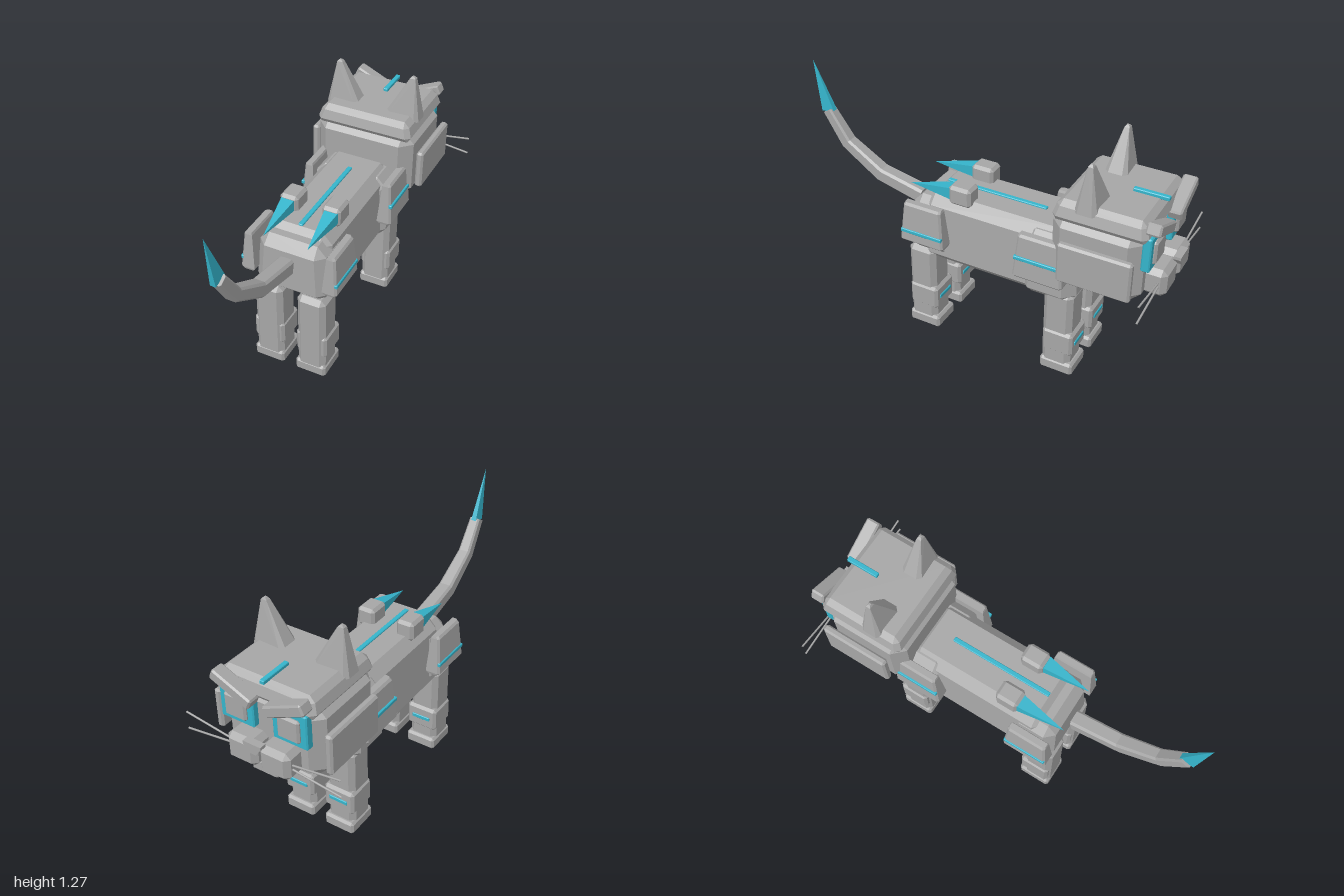
import * as THREE from 'three';
import { ConvexGeometry } from 'three/addons/geometries/ConvexGeometry.js';

const mat = (name, color) => {
  const m = new THREE.MeshStandardMaterial({ color });
  m.name = name;
  return m;
};

export function createModel() {
  const model = new THREE.Group();
  const grey = mat('plate grey', 0xa6a6a6);
  const teal = mat('glowing teal', 0x35b4cb);
  const V = (x, y, z) => new THREE.Vector3(x, y, z);

  const add = (name, material, geometry) => {
    const mesh = new THREE.Mesh(geometry, material);
    mesh.name = name;
    model.add(mesh);
    return mesh;
  };
  const hull = (name, material, points) => add(name, material, new ConvexGeometry(points));

  // Corner points of a chamfered box; tx and tz scale the top in x and z
  const corners = ([x0, x1], [y0, y1], [z0, z1], c, tx = 1, tz = 1) => {
    const w = (x1 - x0) / 2, h = (y1 - y0) / 2, d = (z1 - z0) / 2, pts = [];
    for (const i of [-1, 1]) for (const j of [-1, 1]) for (const k of [-1, 1]) {
      for (const [a, b, e] of [[0, c, c], [c, 0, c], [c, c, 0]]) {
        const y = j * (h - b), t = (y / h + 1) / 2;
        pts.push(V((x0 + x1) / 2 + i * (w - a) * (1 + (tx - 1) * t), (y0 + y1) / 2 + y,
          (z0 + z1) / 2 + k * (d - e) * (1 + (tz - 1) * t)));
      }
    }
    return pts;
  };
  const block = (name, material, ...args) => hull(name, material, corners(...args));

  // Rectangle with cut corners, used for lofted pieces
  const ring = (w, h, c) => [[w - c, h], [w, h - c], [w, c - h], [w - c, -h],
    [c - w, -h], [-w, c - h], [-w, h - c], [c - w, h]];

  // Torso
  block('body', grey, [-0.19, 0.19], [0.42, 0.8], [-0.5, 0.29], 0.055, 0.88, 0.96);
  block('rump', grey, [-0.2, 0.2], [0.46, 0.77], [0.1, 0.35], 0.05, 0.85, 0.9);
  block('chest', grey, [-0.21, 0.21], [0.42, 0.78], [-0.56, -0.27], 0.055, 0.95, 0.92);
  block('spineStripe', teal, [-0.012, 0.012], [0.79, 0.808], [-0.32, 0.22], 0.003);

  // Head
  block('head', grey, [-0.265, 0.265], [0.585, 0.97], [-0.885, -0.445], 0.06);
  block('headCap', grey, [-0.265, 0.265], [0.935, 1.033], [-0.91, -0.445], 0.025, 0.88, 0.88);
  block('headStripe', teal, [-0.012, 0.012], [1.028, 1.048], [-0.905, -0.735], 0.003);
  block('chin', grey, [-0.075, 0.075], [0.565, 0.64], [-0.935, -0.81], 0.015);
  hull('nose', grey, [-0.995, -0.965].length && [-1, -0.965].flatMap(z => [
    V(-0.047, 0.78, z), V(0.047, 0.78, z), V(0.047, 0.765, z), V(-0.047, 0.765, z),
    V(-0.018, 0.728, z), V(0.018, 0.728, z)]));

  for (const s of [1, -1]) {
    const side = s > 0 ? 'left' : 'right';
    const span = (a, b) => (s > 0 ? [a, b] : [-b, -a]);

    // Ears
    const ear = [];
    for (const z of [-1, 1]) {
      ear.push(V(s * 0.08, 1.03, -0.61 + z * 0.035), V(s * 0.1, 1.03, -0.61 + z * 0.055),
        V(s * 0.235, 1.0, -0.61 + z * 0.055), V(s * 0.255, 1.0, -0.61 + z * 0.035),
        V(s * 0.185, 1.222, -0.61 + z * 0.012), V(s * 0.215, 1.222, -0.61 + z * 0.012),
        V(s * 0.195, 1.232, -0.61 + z * 0.006), V(s * 0.205, 1.232, -0.61 + z * 0.006));
    }
    hull(side + 'Ear', grey, ear);

    // Face
    block(side + 'CheekPlate', grey, span(0.277, 0.315), [0.655, 0.86], [-0.868, -0.513], 0.01);
    block(side + 'EyeFrame', teal, span(0.05, 0.23), [0.785, 0.96], [-0.917, -0.875], 0.006);
    block(side + 'Eye', grey, span(0.082, 0.198), [0.812, 0.93], [-0.932, -0.9], 0.01);
    const brow = block(side + 'Brow', grey, [-0.11, 0.11], [-0.028, 0.028], [-0.035, 0.035], 0.008);
    brow.position.set(s * 0.138, 0.975, -0.92);
    brow.rotation.z = s * 0.42;
    block(side + 'Muzzle', grey, span(0.006, 0.168), [0.62, 0.762], [-0.98, -0.86], 0.025);

    // Whiskers
    for (const [name, y0, y1] of [['Upper', 0.7, 0.74], ['Lower', 0.685, 0.65]]) {
      const path = new THREE.LineCurve3(V(s * 0.14, y0, -0.945), V(s * 0.415, y1, -0.945));
      add(side + name + 'Whisker', grey, new THREE.TubeGeometry(path, 1, 0.005, 6));
    }

    // Shoulder and hip armour with stripes
    for (const [name, z0, z1, top, sy] of [['Hip', 0.115, 0.355, 0.765, 0.613],
      ['Shoulder', -0.52, -0.265, 0.785, 0.663]]) {
      const zc = (z0 + z1) / 2, zh = (z1 - z0) / 2, plate = [];
      for (const [y, xi, xo, k] of [[0.55, 0.19, 0.245, 0.97], [0.562, 0.18, 0.256, 1],
        [top - 0.012, 0.195, 0.24, 0.86], [top, 0.2, 0.23, 0.83]]) {
        for (const z of [-1, 1]) {
          plate.push(V(s * xi, y, zc + z * zh * k), V(s * (xo - 0.01), y, zc + z * zh * k),
            V(s * xo, y, zc + z * (zh * k - 0.01)));
        }
      }
      hull(side + name + 'Plate', grey, plate);
      block(side + name + 'Stripe', teal, span(0.238, 0.257), [sy - 0.01, sy + 0.01],
        [zc - zh * 0.95, zc + zh * 0.95], 0.003);
    }

    // Legs, feet, knee guards
    for (const [name, z] of [['Rear', 0.283], ['Front', -0.475]]) {
      block(side + name + 'Leg', grey, span(0.04, 0.192), [0.018, 0.485], [z - 0.078, z + 0.074], 0.025);
      block(side + name + 'Foot', grey, span(0.034, 0.198), [0, 0.068], [z - 0.097, z + 0.076], 0.012);
      block(side + name + 'Knee', grey, span(0.034, 0.201), [0.125, 0.255], [z - 0.093, z + 0.066], 0.014);
      block(side + name + 'KneeStripe', teal, span(0.066, 0.168), [0.18, 0.202], [z - 0.098, z - 0.085], 0.003);
    }

    // Back pods with spikes
    block(side + 'Pod', grey, span(0.063, 0.16), [0.775, 0.876], [0.012, 0.132], 0.015);
    hull(side + 'PodSpike', teal, [V(s * 0.08, 0.797, 0.125), V(s * 0.15, 0.797, 0.125),
      V(s * 0.15, 0.86, 0.125), V(s * 0.08, 0.86, 0.125), V(s * 0.115, 0.803, 0.37)]);
  }

  // Tail: tapered segments between tilted cross-sections
  const tail = [[0.37, 0.668, 0.22, 0.041], [0.62, 0.725, 0.38, 0.038],
    [0.82, 0.852, 0.78, 0.033], [0.925, 1.012, 1.05, 0.028]];
  const section = ([z, y, angle, r]) => ring(r, r, r * 0.3).map(([x, v]) =>
    V(x, y + v * Math.cos(angle), z - v * Math.sin(angle)));
  for (let i = 0; i < 3; i++) {
    hull('tailSegment' + (i + 1), grey, [...section(tail[i]), ...section(tail[i + 1])]);
  }
  hull('tailSpike', teal, [V(-0.014, 1.015, 0.89), V(0.014, 1.015, 0.89),
    V(0.014, 1.0, 0.962), V(-0.014, 1.0, 0.962), V(0, 1.272, 1)]);

  return model;
}
